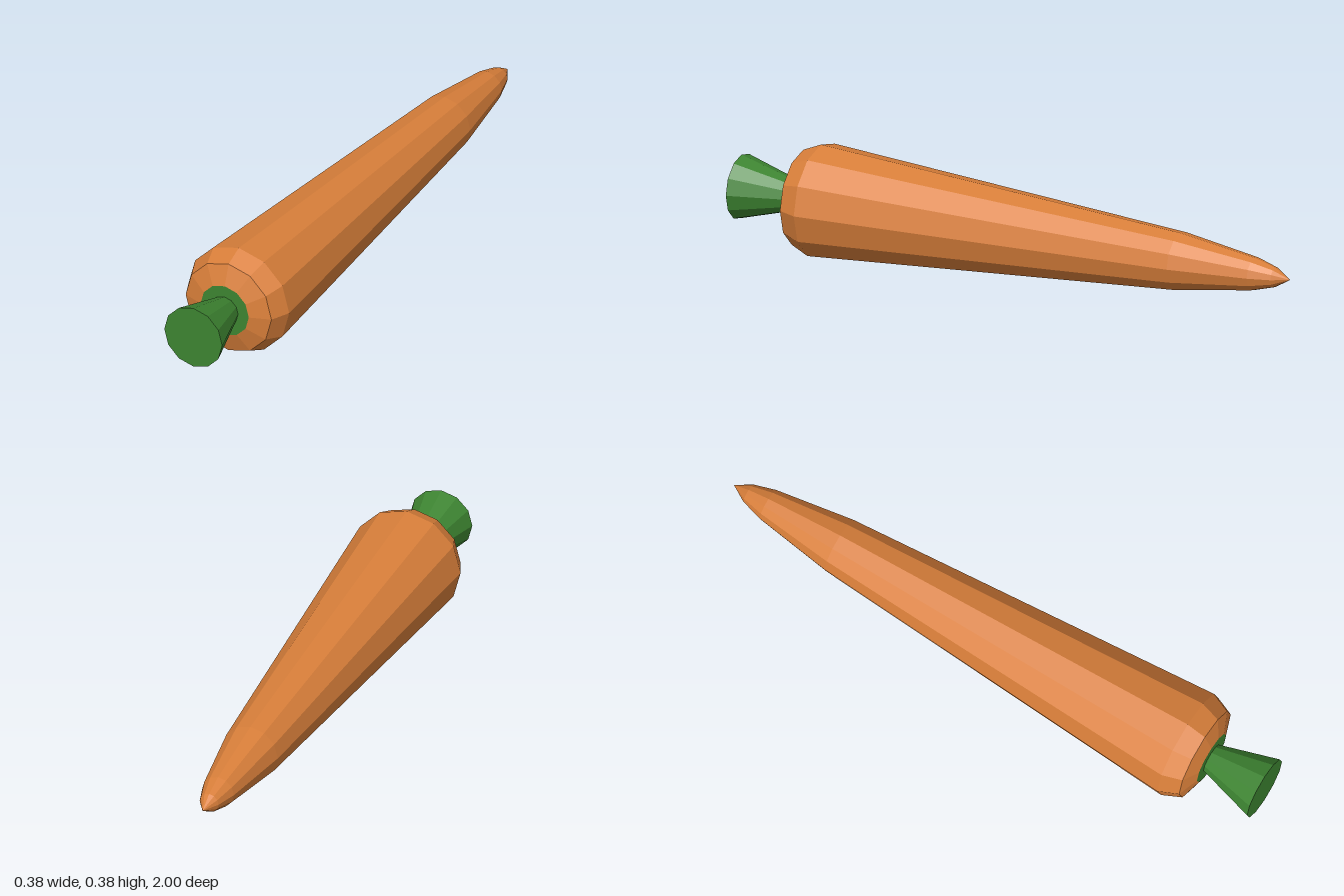
import * as THREE from 'three';

const SIDES = 12;
const CENTRE_Y = 0.19;

export function createModel() {
  const orange = new THREE.MeshStandardMaterial({ color: 0xd97f3a, flatShading: true });
  orange.name = 'orange';
  const green = new THREE.MeshStandardMaterial({ color: 0x3d8431, flatShading: true });
  green.name = 'leaf green';

  const group = new THREE.Group();
  group.name = 'carrot';

  // Revolve [radius, z] pairs around the long axis
  const addTurned = (name, profile, material) => {
    const geometry = new THREE.LatheGeometry(profile.map(([r, z]) => new THREE.Vector2(r, z)), SIDES);
    geometry.rotateX(Math.PI / 2);
    const mesh = new THREE.Mesh(geometry, material);
    mesh.name = name;
    mesh.position.y = CENTRE_Y;
    group.add(mesh);
  };

  // Tapered root, from the tip at the back to the bevelled shoulder
  addTurned('root', [
    [0, -1], [0.033, -0.945], [0.055, -0.87], [0.096, -0.6],
    [0.188, 0.71], [0.16, 0.775], [0.09, 0.8],
  ], orange);

  // Flat crown and the flared stem growing out of it
  addTurned('crown', [[0.09, 0.8], [0, 0.8]], green);
  addTurned('stem', [[0.05, 0.8], [0.108, 1], [0, 1]], green);

  return group;
}
